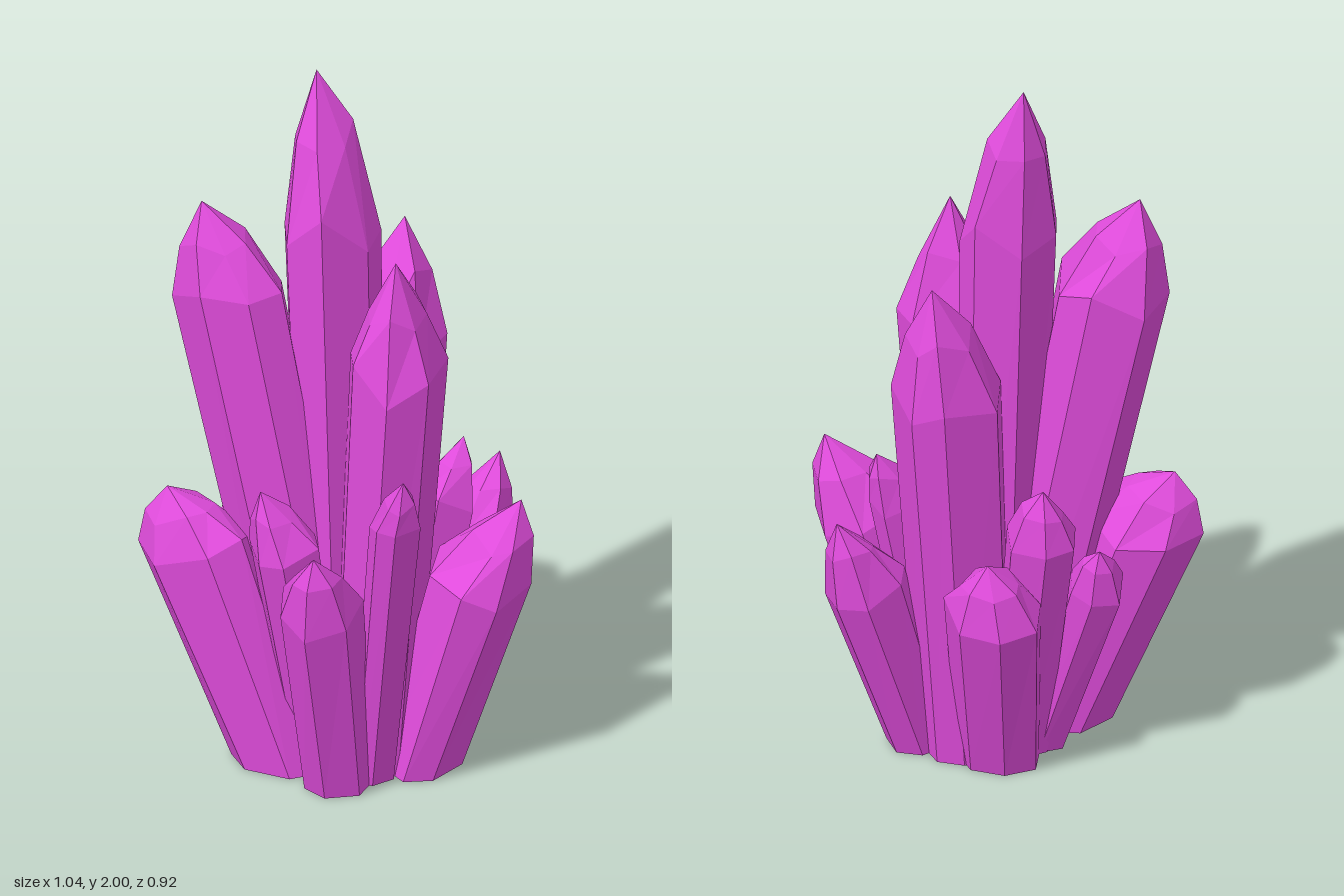
import * as THREE from 'three';

// Small seeded generator for the natural irregularity of the facets
function seeded(seed) {
  let s = seed * 7919 + 17;
  return () => {
    s = (s * 16807) % 2147483647;
    return s / 2147483647;
  };
}

// One crystal: flat foot ring, flared shoulder ring, narrower facet ring, pointed tip.
// radii holds the shoulder's half widths along x and z.
function crystalGeometry(foot, shoulder, radii, tip, seed) {
  const rand = seeded(seed);
  rand();
  const sides = radii.x > 0.1 ? 7 : 6;
  const lean = shoulder.clone().sub(foot).divideScalar(shoulder.y);
  const phase = rand() * Math.PI;
  const corners = Array.from({ length: sides }, (_, i) => {
    const angle = phase + ((i + (rand() - 0.5) * 0.35) / sides) * Math.PI * 2;
    const reach = 0.99 + rand() * 0.1;
    return new THREE.Vector3(Math.cos(angle) * reach * radii.x, 0, -Math.sin(angle) * reach * radii.z);
  });

  // Rings tilt with the lean of the crystal
  const ring = (centre, scale, tilt, jitter) => corners.map((corner) => {
    const p = corner.clone().multiplyScalar(scale);
    p.y = -tilt * (p.x * lean.x + p.z * lean.z) + (rand() - 0.5) * jitter;
    return p.add(centre);
  });

  const height = tip.y - shoulder.y;
  const rings = [
    ring(foot, 0.84, 0, 0),
    ring(shoulder, 1, 0.7, height * 0.35),
    ring(shoulder.clone().lerp(tip, 0.56), 0.6, 0.5, height * 0.2),
  ];

  const points = [];
  for (let i = 0; i < sides; i++) {
    const j = (i + 1) % sides;
    for (let k = 0; k < 2; k++) {
      const [lo, hi] = [rings[k], rings[k + 1]];
      points.push(lo[i], lo[j], hi[j], lo[i], hi[j], hi[i]);
    }
    points.push(rings[2][i], rings[2][j], tip);
    points.push(rings[0][j], rings[0][i], foot);
  }
  const geometry = new THREE.BufferGeometry().setFromPoints(points);
  geometry.computeVertexNormals();
  return geometry;
}

export function createModel() {
  const model = new THREE.Group();
  model.name = 'crystalCluster';
  const material = new THREE.MeshStandardMaterial({ color: 0xe04cdc, flatShading: true });
  let seed = 3;

  // foot and radii are [x, z]; shoulder and tip are [x, y, z]
  const addCrystal = (name, foot, shoulder, radii, tip) => {
    const geometry = crystalGeometry(
      new THREE.Vector3(foot[0], 0, foot[1]), new THREE.Vector3(...shoulder),
      new THREE.Vector3(radii[0], 0, radii[1]), new THREE.Vector3(...tip), seed++);
    const mesh = new THREE.Mesh(geometry, material);
    mesh.name = name;
    model.add(mesh);
  };

  // Tall central spires
  addCrystal('mainSpire', [0, 0], [-0.06, 1.57, -0.04], [0.125, 0.142], [-0.12, 2.0, -0.08]);
  addCrystal('rightSpire', [-0.03, 0.03], [-0.3, 1.37, 0.09], [0.155, 0.135], [-0.37, 1.64, 0.12]);
  addCrystal('leftSpire', [0.1, 0.04], [0.18, 1.22, 0.05], [0.128, 0.16], [0.18, 1.54, 0.06]);
  addCrystal('backSpire', [0.02, -0.15], [0.025, 1.14, -0.255], [0.148, 0.152], [0.03, 1.47, -0.325]);

  // Thick outer shards
  addCrystal('rightShard', [-0.13, 0.13], [-0.365, 0.63, 0.16], [0.16, 0.14], [-0.44, 0.79, 0.19]);
  addCrystal('frontShard', [0.07, 0.195], [0.08, 0.59, 0.33], [0.11, 0.115], [0.1, 0.79, 0.42]);
  addCrystal('leftShard', [0.22, -0.01], [0.385, 0.56, -0.045], [0.135, 0.152], [0.48, 0.81, -0.1]);
  addCrystal('backLeftShard', [0.14, -0.19], [0.22, 0.55, -0.355], [0.105, 0.105], [0.26, 0.75, -0.44]);
  addCrystal('backRightShard', [-0.1, -0.18], [-0.16, 0.54, -0.325], [0.132, 0.12], [-0.17, 0.7, -0.38]);

  // Slender shards filling the gaps
  addCrystal('frontLeftSliver', [0.14, 0.12], [0.27, 0.84, 0.255], [0.07, 0.07], [0.31, 1.01, 0.295]);
  addCrystal('frontRightSliver', [-0.03, 0.09], [-0.08, 0.68, 0.21], [0.095, 0.085], [-0.14, 0.86, 0.24]);
  addCrystal('backRightSliver', [-0.11, -0.08], [-0.235, 0.72, -0.19], [0.1, 0.09], [-0.26, 0.88, -0.23]);
  addCrystal('sideRightSliver', [-0.16, -0.04], [-0.35, 0.55, -0.09], [0.075, 0.078], [-0.38, 0.68, -0.13]);
  addCrystal('backLeftSliver', [0.12, -0.1], [0.215, 0.72, -0.19], [0.077, 0.08], [0.24, 0.88, -0.25]);
  return model;
}
